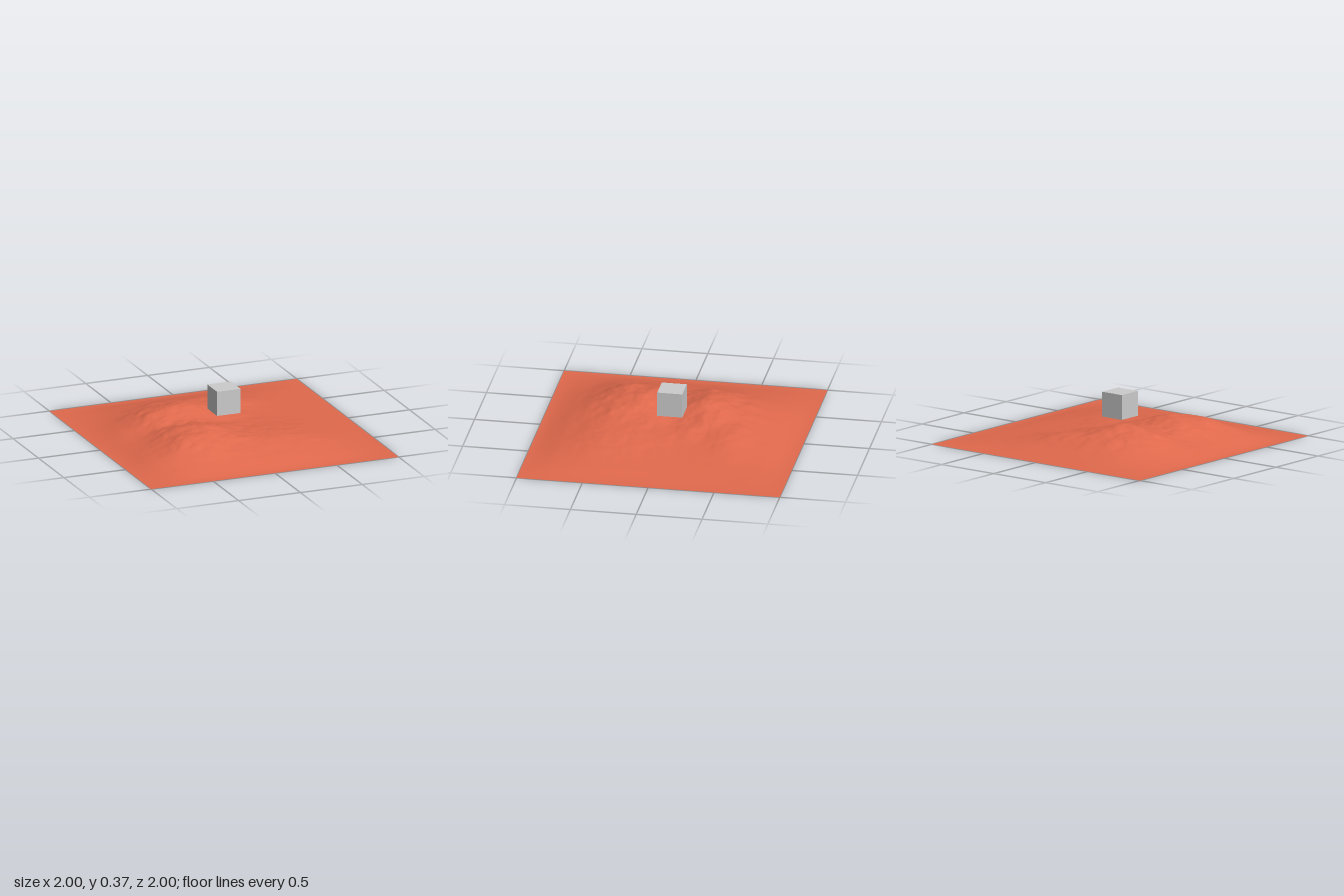
import * as THREE from 'three';

// Broad hill heights in hundredths: rows run back to front, columns run -x to +x
const HILLS = [
  [0, 0, 0, 0, 0, 0, 0, 0, 0],
  [0, 2, 4.5, 5.5, 5.5, 4.8, 3, 1.5, 0],
  [0, 4, 10, 13, 12, 9.5, 5, 2, 0],
  [0, 6, 16, 19.5, 13.5, 8, 5, 2.5, 0],
  [0, 5.5, 12, 14, 10.5, 8, 5.5, 3, 0],
  [0, 6, 15, 17.5, 12, 9.5, 7, 3.5, 0],
  [0, 6, 13.5, 14, 11.5, 10, 7.5, 3.5, 0],
  [0, 2.5, 5, 5.5, 5.5, 5, 4, 2, 0],
  [0, 0, 0, 0, 0, 0, 0, 0, 0],
];
const CELLS = HILLS.length - 1;

// Mirrored indices make the land meet its border with no slope
const mirror = (i) => (i < 0 ? -i : i > CELLS ? 2 * CELLS - i : i);

function cubic(a, b, c, d, t) {
  return b + 0.5 * t * (c - a + t * (2 * a - 5 * b + 4 * c - d + t * (3 * (b - c) + d - a)));
}

function hillHeight(x, z) {
  const u = (x + 1) * CELLS / 2, v = (z + 1) * CELLS / 2;
  const i = Math.min(Math.floor(u), CELLS - 1), j = Math.min(Math.floor(v), CELLS - 1);
  const rows = [-1, 0, 1, 2].map((dj) => {
    const row = HILLS[mirror(j + dj)];
    return cubic(...[-1, 0, 1, 2].map((di) => row[mirror(i + di)]), u - i);
  });
  return Math.max(0, cubic(...rows, v - j) / 100);
}

// Repeatable value noise in the range -1 to 1
function hash(i, j) {
  const s = Math.sin(i * 127.1 + j * 311.7) * 43758.5453;
  return (s - Math.floor(s)) * 2 - 1;
}

function noise(x, z) {
  const i = Math.floor(x), j = Math.floor(z);
  const fade = (t) => t * t * t * (t * (t * 6 - 15) + 10);
  const u = fade(x - i), v = fade(z - j);
  const near = THREE.MathUtils.lerp(hash(i, j), hash(i + 1, j), u);
  const far = THREE.MathUtils.lerp(hash(i, j + 1), hash(i + 1, j + 1), u);
  return THREE.MathUtils.lerp(near, far, v);
}

function groundHeight(x, z) {
  const base = hillHeight(x, z);
  // Rocky detail grows with height and fades out on the plains
  let rough = 0;
  for (let o = 0, f = 6, a = 0.5; o < 4; o++, f *= 2, a *= 0.5) {
    rough += a * noise(x * f + o * 17.3, z * f * 1.2 + o * 9.1);
  }
  return Math.max(0, base + rough * 0.022 * THREE.MathUtils.smoothstep(base, 0.02, 0.16));
}

export function createModel() {
  const model = new THREE.Group();

  // Open sheet of land raised into two ridges with a valley between
  const land = new THREE.PlaneGeometry(2, 2, 160, 160).rotateX(-Math.PI / 2);
  const p = land.attributes.position;
  for (let i = 0; i < p.count; i++) p.setY(i, groundHeight(p.getX(i), p.getZ(i)));
  land.computeVertexNormals();
  const terrain = new THREE.Mesh(
    land,
    new THREE.MeshStandardMaterial({ color: 0xe0694c, side: THREE.DoubleSide })
  );
  terrain.name = 'terrain';

  // Plain cube hovering above the middle
  const cube = new THREE.Mesh(
    new THREE.BoxGeometry(0.19, 0.19, 0.19),
    new THREE.MeshStandardMaterial({ color: 0xcccccc })
  );
  cube.name = 'cube';
  cube.position.y = 0.278;

  model.add(terrain, cube);
  return model;
}
